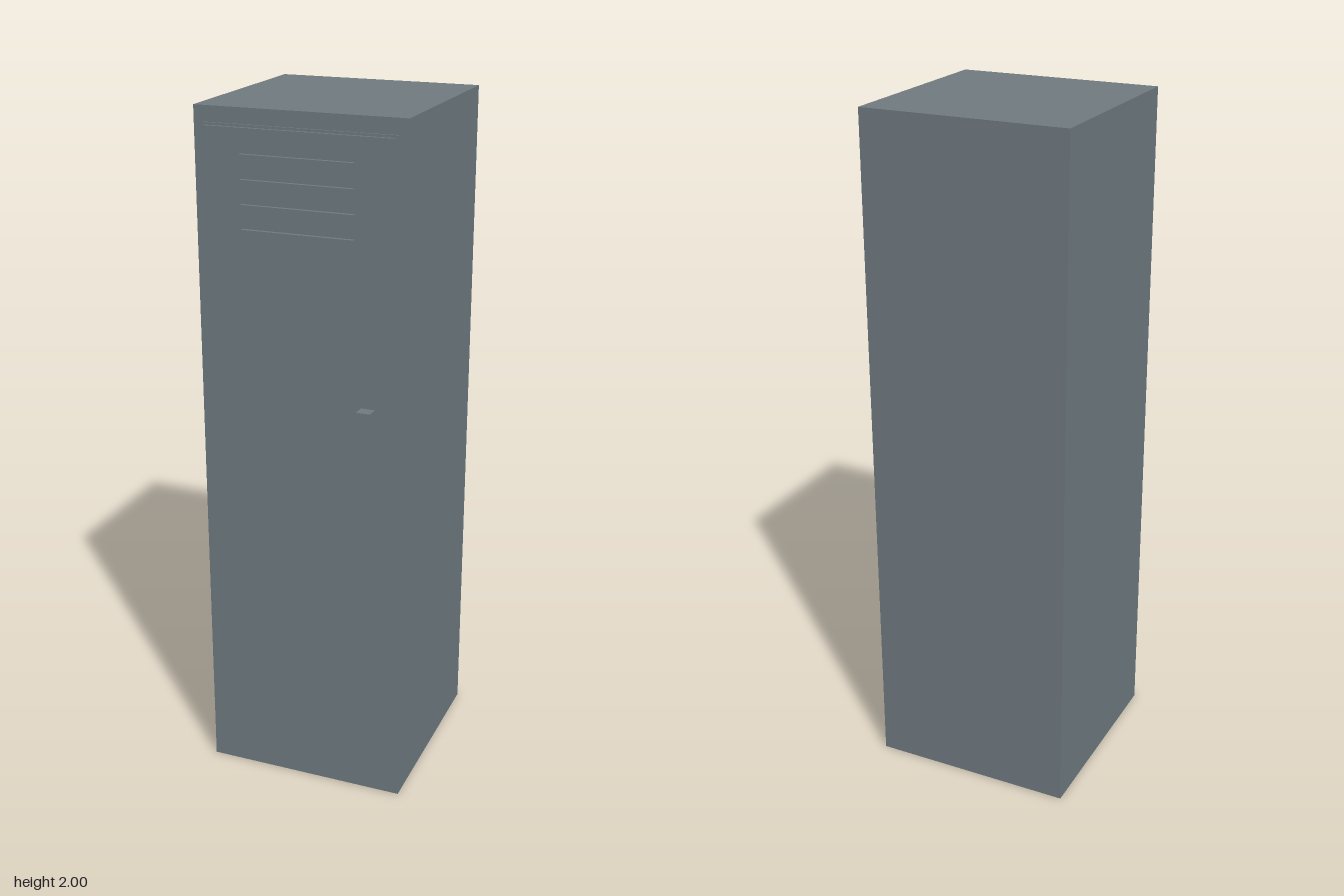
import * as THREE from 'three';

export function createModel() {
  const locker = new THREE.Group();
  locker.name = 'locker';
  const steel = new THREE.MeshStandardMaterial({ color: 0x6f7a80 });
  steel.name = 'grey steel';

  // Box given by its lower and upper limits on each axis
  function addBox(name, [x0, x1], [y0, y1], [z0, z1]) {
    const mesh = new THREE.Mesh(new THREE.BoxGeometry(x1 - x0, y1 - y0, z1 - z0), steel);
    mesh.position.set((x0 + x1) / 2, (y0 + y1) / 2, (z0 + z1) / 2);
    mesh.name = name;
    locker.add(mesh);
  }

  // Cabinet and stepped door
  addBox('cabinet', [-0.3, 0.3], [0, 2], [-0.325, 0.275]);
  addBox('doorSurround', [-0.275, 0.273], [0.045, 1.957], [0.27, 0.28]);
  addBox('door', [-0.267, 0.266], [0.055, 1.95], [0.275, 0.289]);

  // Four vent slats near the top of the door
  for (let i = 0; i < 4; i++) {
    const y = 1.87 - i * 0.0667;
    addBox('ventSlat' + (i + 1), [-0.16, 0.16], [y - 0.0133, y + 0.0133], [0.285, 0.3]);
  }

  // Upright handle on the opening side
  addBox('handle', [0.18, 0.22], [1.06, 1.22], [0.285, 0.325]);

  return locker;
}
